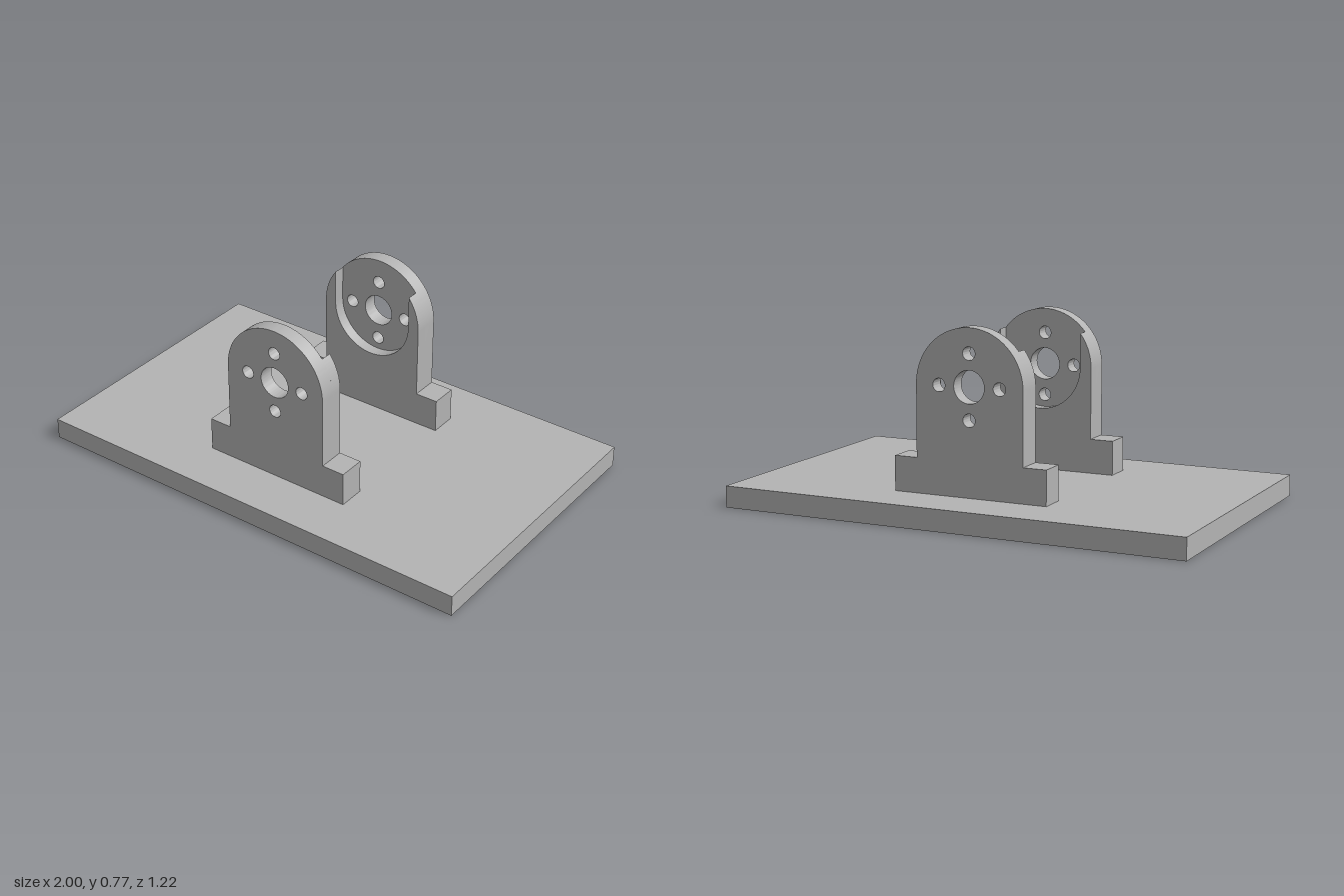
import * as THREE from 'three';
import { toCreasedNormals } from 'three/addons/utils/BufferGeometryUtils.js';

const BASE_TOP = 0.09, FOOT_TOP = 0.235, FOOT_X = 0.335;
const AXIS_Y = 0.535, ARCH_R = 0.235, SLOT_R = 0.185;
const Z_IN = 0.27, Z_STEP = 0.32, Z_OUT = 0.385;

const grey = new THREE.MeshStandardMaterial({ color: 0xb3b3b3 });
grey.name = 'grey';

function extrude(shape, depth) {
  const geo = new THREE.ExtrudeGeometry(shape, { depth, bevelEnabled: false, curveSegments: 40 });
  return toCreasedNormals(geo, Math.PI / 6);
}

function addMesh(parent, name, geo, x = 0, y = 0, z = 0) {
  const mesh = new THREE.Mesh(geo, grey);
  mesh.name = name;
  mesh.position.set(x, y, z);
  parent.add(mesh);
}

function roundHole(x, y, r) {
  return new THREE.Path().absarc(x, y, r, 0, Math.PI * 2, true);
}

// Stepped foot and right-hand side shared by both bracket layers
function startProfile() {
  const s = new THREE.Shape();
  s.moveTo(-FOOT_X, BASE_TOP);
  s.lineTo(FOOT_X, BASE_TOP);
  s.lineTo(FOOT_X, FOOT_TOP);
  s.lineTo(ARCH_R, FOOT_TOP);
  s.lineTo(ARCH_R, AXIS_Y);
  return s;
}

function endProfile(s) {
  s.lineTo(-ARCH_R, FOOT_TOP);
  s.lineTo(-FOOT_X, FOOT_TOP);
  s.closePath();
  return s;
}

// Outer layer: full arch with a shaft hole and four bolt holes
function outerProfile() {
  const s = startProfile();
  s.absarc(0, AXIS_Y, ARCH_R, 0, Math.PI, false);
  endProfile(s);
  s.holes.push(roundHole(0, AXIS_Y, 0.067));
  for (let i = 0; i < 4; i++) {
    const a = i * Math.PI / 2;
    s.holes.push(roundHole(0.133 * Math.cos(a), AXIS_Y + 0.133 * Math.sin(a), 0.027));
  }
  return s;
}

// Inner layer: same outline with a U-shaped seat open at the top
function innerProfile() {
  const t = Math.acos(SLOT_R / ARCH_R);
  const s = startProfile();
  s.absarc(0, AXIS_Y, ARCH_R, 0, t, false);
  s.lineTo(SLOT_R, AXIS_Y);
  s.absarc(0, AXIS_Y, SLOT_R, 0, -Math.PI, true);
  s.lineTo(-SLOT_R, AXIS_Y + ARCH_R * Math.sin(t));
  s.absarc(0, AXIS_Y, ARCH_R, Math.PI - t, Math.PI, false);
  return endProfile(s);
}

function rectangle(path, x0, y0, x1, y1) {
  path.moveTo(x0, y0);
  path.lineTo(x1, y0);
  path.lineTo(x1, y1);
  path.lineTo(x0, y1);
  path.closePath();
  return path;
}

export function createModel() {
  const model = new THREE.Group();
  model.name = 'bracketStand';

  // Base plate with four shallow pad recesses underneath
  const base = new THREE.Group();
  base.name = 'base';
  const recess = 0.012;
  addMesh(base, 'basePlate', new THREE.BoxGeometry(2, BASE_TOP - recess, 1.22),
    0, (BASE_TOP + recess) / 2, 0);
  const under = rectangle(new THREE.Shape(), -1, -0.61, 1, 0.61);
  for (const sx of [-1, 1]) for (const sz of [-1, 1]) {
    under.holes.push(rectangle(new THREE.Path(), sx * 0.95, sz * 0.565, sx * 0.615, sz * 0.3));
  }
  addMesh(base, 'padRecesses', extrude(under, recess).rotateX(-Math.PI / 2));
  model.add(base);

  // Two brackets facing each other
  const outer = extrude(outerProfile(), Z_OUT - Z_STEP);
  const inner = extrude(innerProfile(), Z_STEP - Z_IN);
  for (const name of ['frontBracket', 'backBracket']) {
    const bracket = new THREE.Group();
    bracket.name = name;
    addMesh(bracket, 'drilledFace', outer, 0, 0, Z_STEP);
    addMesh(bracket, 'seat', inner, 0, 0, Z_IN);
    if (name === 'backBracket') bracket.rotation.y = Math.PI;
    model.add(bracket);
  }
  return model;
}
